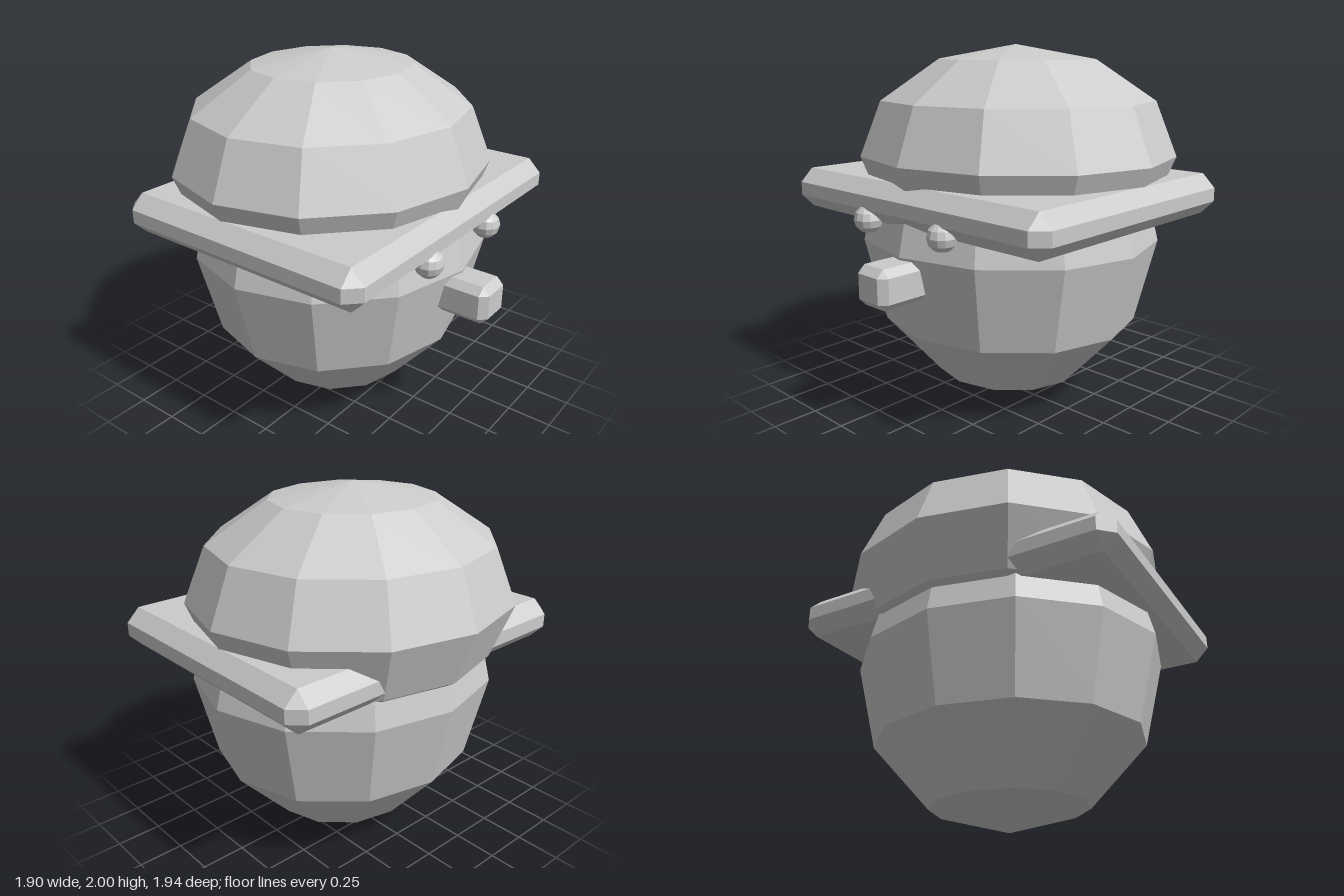
import * as THREE from 'three';
import { ConvexGeometry } from 'three/addons/geometries/ConvexGeometry.js';

const material = new THREE.MeshStandardMaterial({ color: 0xcccccc, flatShading: true });

function addPart(group, name, geometry, x, y, z) {
  const mesh = new THREE.Mesh(geometry, material);
  mesh.name = name;
  mesh.position.set(x, y, z);
  group.add(mesh);
  return mesh;
}

// Low-poly ellipsoid: 12 sides, 6 rows
function ellipsoid(rx, ry, rz) {
  return new THREE.SphereGeometry(1, 12, 6).scale(rx, ry, rz);
}

// Box with single-step bevels: three points at every corner
function bevelBox(w, h, d, bevel) {
  const half = [w / 2, h / 2, d / 2];
  const points = [];
  for (const sx of [-1, 1]) for (const sy of [-1, 1]) for (const sz of [-1, 1]) {
    for (let outer = 0; outer < 3; outer++) {
      const [x, y, z] = half.map((s, axis) => (axis === outer ? s : s - bevel));
      points.push(new THREE.Vector3(sx * x, sy * y, sz * z));
    }
  }
  return new ConvexGeometry(points);
}

export function createModel() {
  const model = new THREE.Group();
  model.name = 'cappedHead';

  // Head and the dome of the cap, set slightly back
  addPart(model, 'head', ellipsoid(0.875, 0.94, 0.81), 0, 0.94, -0.04);
  addPart(model, 'capDome', ellipsoid(0.92, 0.6, 0.868), 0, 1.4, -0.102);

  // Square brim
  addPart(model, 'brim', bevelBox(1.9, 0.225, 1.54, 0.075), 0, 1.187, 0);

  // Block nose, sunk into the face
  addPart(model, 'nose', bevelBox(0.23, 0.215, 0.36, 0.04), 0, 0.818, 0.79);

  // Eyes under the brim
  for (const side of [-1, 1]) {
    addPart(model, side > 0 ? 'leftEye' : 'rightEye', ellipsoid(0.08, 0.077, 0.078), side * 0.292, 1.092, 0.735);
  }
  return model;
}
